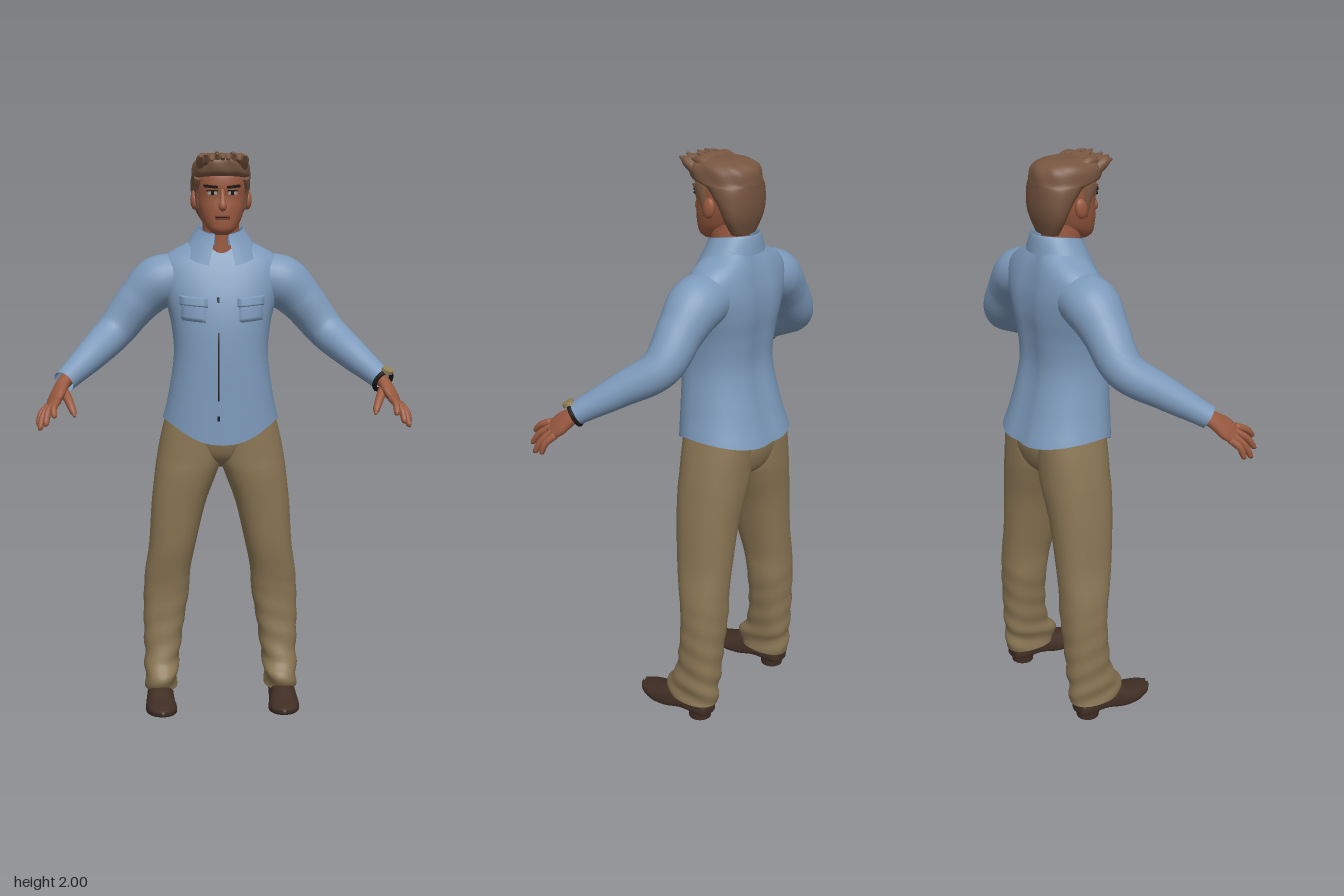
import * as THREE from 'three';
import { mergeVertices } from 'three/addons/utils/BufferGeometryUtils.js';

const V = (x, y, z) => new THREE.Vector3(x, y, z);
const clamp = THREE.MathUtils.clamp;
const paint = (name, color, side = THREE.FrontSide) => {
  const m = new THREE.MeshStandardMaterial({ color, side });
  m.name = name;
  return m;
};

// Smooth interpolation of a list of cross-sections
function mix(K, t) {
  const f = t * (K.length - 1), i = Math.min(Math.floor(f), K.length - 2), k = f - i;
  const g = j => K[clamp(j, 0, K.length - 1)];
  return K[i].map((_, c) => {
    const a = g(i - 1)[c], b = g(i)[c], d = g(i + 1)[c], e = g(i + 2)[c];
    return b + 0.5 * k * (d - a + k * (2 * a - 5 * b + 4 * d - e + k * (3 * (b - d) + e - a)));
  });
}

// Surface from a point rule over a u, v grid
function grid(nu, nv, fn) {
  const pos = [], idx = [];
  for (let v = 0; v <= nv; v++) for (let u = 0; u <= nu; u++) pos.push(...fn(u / nu, v / nv).toArray());
  for (let v = 0; v < nv; v++) for (let u = 0; u < nu; u++) {
    const a = v * (nu + 1) + u, c = a + nu + 1;
    idx.push(a, a + 1, c, a + 1, c + 1, c);
  }
  let g = new THREE.BufferGeometry();
  g.setAttribute('position', new THREE.Float32BufferAttribute(pos, 3));
  g.setIndex(idx);
  g = mergeVertices(g, 1e-5);
  g.computeVertexNormals();
  return g;
}

// Closed rings along v, with the two ends drawn together when capped
function rings(nu, nv, fn, centre) {
  if (!centre) return grid(nu, nv, (u, v) => fn(u * Math.PI * 2, v));
  return grid(nu, nv + 2, (u, v) => {
    const row = Math.round(v * (nv + 2));
    if (row === 0 || row === nv + 2) return centre(row ? 1 : 0);
    return fn(u * Math.PI * 2, (row - 1) / nv);
  });
}

// Upright loft, sections are [y, zFront, zBack, halfWidth, xCentre]
const pw = (v, n) => Math.sign(v) * Math.abs(v) ** (2 / n);
function upright(K, { n = 2.3, cap = true, bend = p => p, rows = 40 } = {}) {
  return rings(40, rows, (a, t) => {
    const [y, zf, zb, w, x = 0] = mix(K, t);
    return bend(V(x + w * pw(Math.sin(a), n), y, (zf + zb) / 2 + (zf - zb) / 2 * pw(Math.cos(a), n)), t, a);
  }, cap && (t => { const [y, zf, zb, , x = 0] = mix(K, t); return V(x, y, (zf + zb) / 2); }));
}

// Front z of an upright loft at x, y
function frontZ(K, x, y, n = 2.3) {
  let lo = 0, hi = 1;
  for (let i = 0; i < 24; i++) { const m = (lo + hi) / 2; if (mix(K, m)[0] < y) lo = m; else hi = m; }
  const [, zf, zb, w] = mix(K, lo);
  return (zf + zb) / 2 + (zf - zb) / 2 * Math.max(0, 1 - Math.abs(x / w) ** n) ** (1 / n);
}

// Thin raised plate lying on the front of a loft
const patch = (K, x0, x1, y0, y1, lift, tilt = 0) => grid(10, 10, (u, v) => {
  const x = x0 + (x1 - x0) * u, y = y0 + (y1 - y0) * v + tilt * (u - 0.5);
  const edge = Math.min(u, 1 - u, v, 1 - v) < 0.01 ? -0.003 : lift;
  return V(x, y, frontZ(K, x, y) + edge);
});

// Tapered tube through points, radii are [along ref, across ref]
function limb(pts, radii, { ref = V(0, 1, 0), cap = true, nu = 12, nv = 20 } = {}) {
  const curve = new THREE.CatmullRomCurve3(pts);
  return rings(nu, nv, (a, t) => {
    const T = curve.getTangent(t), N = ref.clone().addScaledVector(T, -ref.dot(T)).normalize();
    const B = T.clone().cross(N), [r, q] = mix(radii, t);
    return curve.getPoint(t).addScaledVector(N, r * Math.cos(a)).addScaledVector(B, q * Math.sin(a));
  }, cap && (t => curve.getPoint(t)));
}
const round = list => list.map(r => [r, r]);

const TORSO = [[1.065, 0.05, -0.283, 0.207], [1.15, 0.05, -0.25, 0.187], [1.29, 0.05, -0.22, 0.167],
  [1.4, 0.045, -0.225, 0.175], [1.48, 0.033, -0.235, 0.195], [1.55, 0.013, -0.235, 0.215],
  [1.61, -0.01, -0.225, 0.215], [1.65, -0.03, -0.215, 0.18], [1.68, -0.045, -0.205, 0.125], [1.705, -0.055, -0.195, 0.085]];
const HEAD = [[1.713, 0.008, -0.04, 0.022], [1.73, 0.022, -0.08, 0.046], [1.76, 0.026, -0.13, 0.066],
  [1.8, 0.027, -0.16, 0.079], [1.84, 0.024, -0.175, 0.086], [1.88, 0.03, -0.18, 0.088],
  [1.92, 0.024, -0.18, 0.088], [1.96, 0, -0.15, 0.07]];
const HAIR = [[1.745, -0.12, -0.172, 0.055], [1.79, -0.105, -0.186, 0.084], [1.83, -0.09, -0.193, 0.098],
  [1.87, -0.06, -0.195, 0.104], [1.9, -0.025, -0.195, 0.104], [1.915, 0.036, -0.195, 0.102],
  [1.95, 0.05, -0.188, 0.098], [1.972, 0.045, -0.165, 0.082], [1.984, 0.025, -0.12, 0.05]];
const PELVIS = [[0.885, -0.09, -0.15, 0.03], [0.92, -0.03, -0.215, 0.1], [0.98, -0.005, -0.238, 0.19],
  [1.04, 0, -0.24, 0.195], [1.1, 0, -0.23, 0.17]];
const LEG = [[0.065, -0.01, -0.205, 0.165, 0.277], [0.12, 0, -0.206, 0.16, 0.28], [0.18, -0.04, -0.21, 0.152, 0.28],
  [0.3, -0.058, -0.215, 0.135, 0.283], [0.42, -0.058, -0.22, 0.115, 0.281], [0.5, -0.045, -0.22, 0.11, 0.275],
  [0.6, -0.025, -0.221, 0.09, 0.26], [0.75, -0.01, -0.226, 0.055, 0.25], [0.86, 0, -0.235, 0.015, 0.238],
  [0.92, 0, -0.238, -0.005, 0.23], [1, 0, -0.24, -0.005, 0.215], [1.08, 0, -0.24, -0.005, 0.195]];
// Shoe sections: [z, halfWidth, top, bottom]
const SHOE = [[-0.185, 0.028, 0.06, 0.022], [-0.165, 0.042, 0.09, 0.02], [-0.08, 0.047, 0.1, 0.022],
  [-0.01, 0.052, 0.088, 0.006], [0.05, 0.056, 0.064, 0.006], [0.1, 0.044, 0.05, 0.014], [0.122, 0.026, 0.042, 0.02], [0.131, 0.008, 0.034, 0.025]];

export function createModel() {
  const model = new THREE.Group();
  const shirt = paint('shirt blue', 0x7d9abb, THREE.DoubleSide), khaki = paint('trouser khaki', 0x8a7654, THREE.DoubleSide);
  const skin = paint('skin', 0x9a5a40), hair = paint('hair brown', 0x775640), leather = paint('shoe leather', 0x402e24);
  const dark = paint('dark detail', 0x1d191a), white = paint('eye white', 0xb5aaa2), lip = paint('lip', 0x7a3f34), brass = paint('watch brass', 0x8f7f55);
  const add = (name, geo, mat) => {
    const m = new THREE.Mesh(geo, mat);
    m.name = name;
    model.add(m);
    return m;
  };

  // Shirt body with curved tails
  add('shirtBody', upright(TORSO, { cap: false, rows: 54, bend: (p, t, a) => {
    const c = Math.cos(a);
    p.y -= Math.max(0, 1 - t * 9) * (c > 0 ? 0.08 * c ** 3 : 0.03 * c * c);
    if (c < 0) p.z += 0.012 * Math.exp(-((p.x / 0.04) ** 2)) * -c;
    return p;
  } }), shirt);
  add('placketSlit', patch(TORSO, -0.018, -0.011, 1.13, 1.39, 0.003), dark);
  [1.08, 1.49].forEach(y => add('button', patch(TORSO, -0.019, -0.01, y - 0.01, y + 0.01, 0.004), dark));

  // Folded collar, open at the front
  add('collar', grid(40, 8, (u, v) => {
    const a = 0.3 + u * (Math.PI * 2 - 0.6), f = ((1 + Math.cos(a)) / 2) ** 2;
    const [y, rx, rz] = mix([[1.69 - 0.03 * f, 0.075, 0.075], [1.745 - 0.03 * f, 0.078, 0.085],
      [1.735 - 0.045 * f, 0.09, 0.092], [1.685 - 0.08 * f, 0.118 + 0.04 * f, 0.098 + 0.03 * f]], v);
    return V(rx * Math.sin(a), y, -0.108 + rz * Math.cos(a));
  }), shirt);

  // Neck and head
  add('neck', limb([V(0, 1.6, -0.1), V(0, 1.69, -0.095), V(0, 1.79, -0.09)], [[0.07, 0.072], [0.066, 0.064], [0.066, 0.064]], { ref: V(0, 0, 1), nu: 24 }), skin);
  add('head', upright(HEAD, { n: 2.2 }), skin);
  add('nose', limb([V(0, 1.87, 0.022), V(0, 1.835, 0.032), V(0, 1.808, 0.036), V(0, 1.796, 0.03)], round([0.006, 0.009, 0.015, 0.008]), { ref: V(0, 0, 1) }), skin);
  add('lips', patch(HEAD, -0.027, 0.027, 1.765, 1.78, 0.004), lip);
  add('mouthLine', patch(HEAD, -0.026, 0.026, 1.771, 1.774, 0.006), dark);

  // Hair cap and swept tufts
  add('hairCap', upright(HAIR, { rows: 48, bend: (p, t, a) => {
    const w = 1 + 0.025 * Math.sin(a * 9 + t * 14) * clamp((t - 0.55) * 4, 0, 1);
    return V(p.x * w, p.y, -0.075 + (p.z + 0.075) * w);
  } }), hair);
  for (let i = 0; i < 9; i++) {
    const x = (i - 4) * 0.018, up = 0.012 * Math.sin(i * 2.4);
    add('fringeTuft', limb([V(x * 0.9, 1.94, -0.01), V(x, 1.968, 0.03), V(x * 1.05, 1.975 + up, 0.056)], round([0.022, 0.018, 0.004])), hair);
    add('crownTuft', limb([V(x * 0.8, 1.955, -0.06), V(x * 0.9, 1.974, -0.02), V(x, 1.989 + up * 0.8 - Math.abs(x) * 0.2, 0.012)], round([0.02, 0.017, 0.004])), hair);
  }

  const palmRef = s => V(-0.557 * s, 0.371, 0.743);
  for (const s of [1, -1]) {
    const side = s > 0 ? 'left' : 'right', P = (x, y, z) => V(s * x, y, z);
    const across = (K, a, b, ...r) => patch(K, Math.min(s * a, s * b), Math.max(s * a, s * b), ...r);

    // Face details
    add(side + 'Eye', across(HEAD, 0.018, 0.052, 1.847, 1.86, 0.003), white);
    add(side + 'Iris', across(HEAD, 0.028, 0.041, 1.847, 1.861, 0.005), dark);
    add(side + 'EyeLine', across(HEAD, 0.015, 0.055, 1.859, 1.864, 0.006), dark);
    add(side + 'Eyebrow', across(HEAD, 0.014, 0.064, 1.871, 1.881, 0.005, s * 0.006), dark);
    const ear = add(side + 'Ear', new THREE.SphereGeometry(1, 16, 12), skin);
    ear.scale.set(0.014, 0.034, 0.022);
    ear.position.set(s * 0.093, 1.832, -0.075);
    ear.rotation.x = -0.15;
    add(side + 'Sideburn', limb([P(0.082, 1.91, -0.03), P(0.085, 1.86, -0.045), P(0.08, 1.8, -0.05)], [[0.03, 0.014], [0.015, 0.009], [0.008, 0.005]], { ref: V(0, 0, 1) }), hair);

    // Chest pockets with flaps
    add(side + 'Pocket', across(TORSO, 0.055, 0.145, 1.415, 1.495, 0.008, s * 0.008), shirt);
    add(side + 'PocketFlap', across(TORSO, 0.05, 0.15, 1.468, 1.503, 0.015, s * 0.008), shirt);

    // Sleeve
    add(side + 'Sleeve', limb([P(0.12, 1.56, -0.12), P(0.215, 1.545, -0.117), P(0.29, 1.48, -0.115), P(0.375, 1.375, -0.1), P(0.455, 1.3, 0), P(0.545, 1.222, 0.112)],
      round([0.085, 0.094, 0.079, 0.067, 0.055, 0.039]), { cap: false, nu: 24, nv: 40 }), shirt);

    // Hand, fingers and thumb
    add(side + 'Palm', limb([P(0.525, 1.24, 0.085), P(0.55, 1.212, 0.125), P(0.567, 1.178, 0.165), P(0.583, 1.148, 0.2)],
      [[0.029, 0.025], [0.032, 0.022], [0.044, 0.02], [0.038, 0.012]], { ref: palmRef(s), nu: 16 }), skin);
    [[0.63, 1.085, 0.2, -0.033], [0.622, 1.077, 0.237, -0.011], [0.6, 1.095, 0.268, 0.011], [0.57, 1.125, 0.283, 0.032]].forEach(([x, y, z, k]) => {
      const base = P(0.577, 1.16, 0.188).addScaledVector(palmRef(s), k), tip = P(x, y, z);
      const knuckle = base.clone().lerp(tip, 0.5).add(P(0.006, 0.006, 0.004));
      add(side + 'Finger', limb([base, knuckle, base.clone().lerp(tip, 0.92), tip], round([0.0125, 0.0115, 0.0095, 0.004]), { ref: palmRef(s), nu: 10, nv: 12 }), skin);
    });
    add(side + 'Thumb', limb([P(0.548, 1.2, 0.14), P(0.525, 1.168, 0.19), P(0.509, 1.135, 0.222), P(0.504, 1.12, 0.236)], round([0.018, 0.015, 0.012, 0.004]), { ref: palmRef(s), nu: 10 }), skin);

    // Trouser leg with soft creases near the ankle
    const K = LEG.map(([y, f, b, i, o]) => [y, f, b, (o - i) / 2, s * (o + i) / 2]);
    add(side + 'TrouserLeg', upright(K, { cap: false, rows: 66, bend: (p, t, a) => {
      const w = 0.005 * Math.max(0, 1 - p.y / 0.5) * Math.sin(p.y * 75 + s * a * 2);
      p.x += w * Math.sin(a);
      p.z += w * Math.cos(a);
      return p;
    } }), khaki);

    // Shoe with heel
    const xc = z => s * (0.224 - 0.06 * Math.max(0, z));
    add(side + 'Shoe', rings(24, 30, (a, t) => {
      const [z, w, top, low] = mix(SHOE, t), h = Math.sin(a), mid = low + 0.018;
      return V(xc(z) + w * pw(Math.cos(a), 2.4), h > 0 ? mid + (top - mid) * h : mid + (mid - low) * pw(h, 4), z);
    }, t => { const [z, , top, low] = mix(SHOE, t); return V(xc(z), (top + low) / 2, z); }), leather);
    const heel = add(side + 'Heel', new THREE.CylinderGeometry(0.042, 0.04, 0.03, 20), leather);
    heel.position.set(s * 0.224, 0.015, -0.138);
  }
  add('trouserSeat', upright(PELVIS), khaki);

  // Wristwatch on the left arm
  const watch = new THREE.Group();
  watch.name = 'wristwatch';
  const strap = new THREE.Mesh(new THREE.TorusGeometry(0.037, 0.008, 8, 28), dark);
  strap.name = 'watchStrap';
  const dial = new THREE.Mesh(new THREE.CylinderGeometry(0.019, 0.021, 0.012, 20), brass);
  dial.name = 'watchDial';
  dial.position.y = 0.043;
  watch.add(strap, dial);
  watch.position.set(0.547, 1.219, 0.117);
  watch.lookAt(0.632, 1.141, 0.229);
  model.add(watch);
  return model;
}
